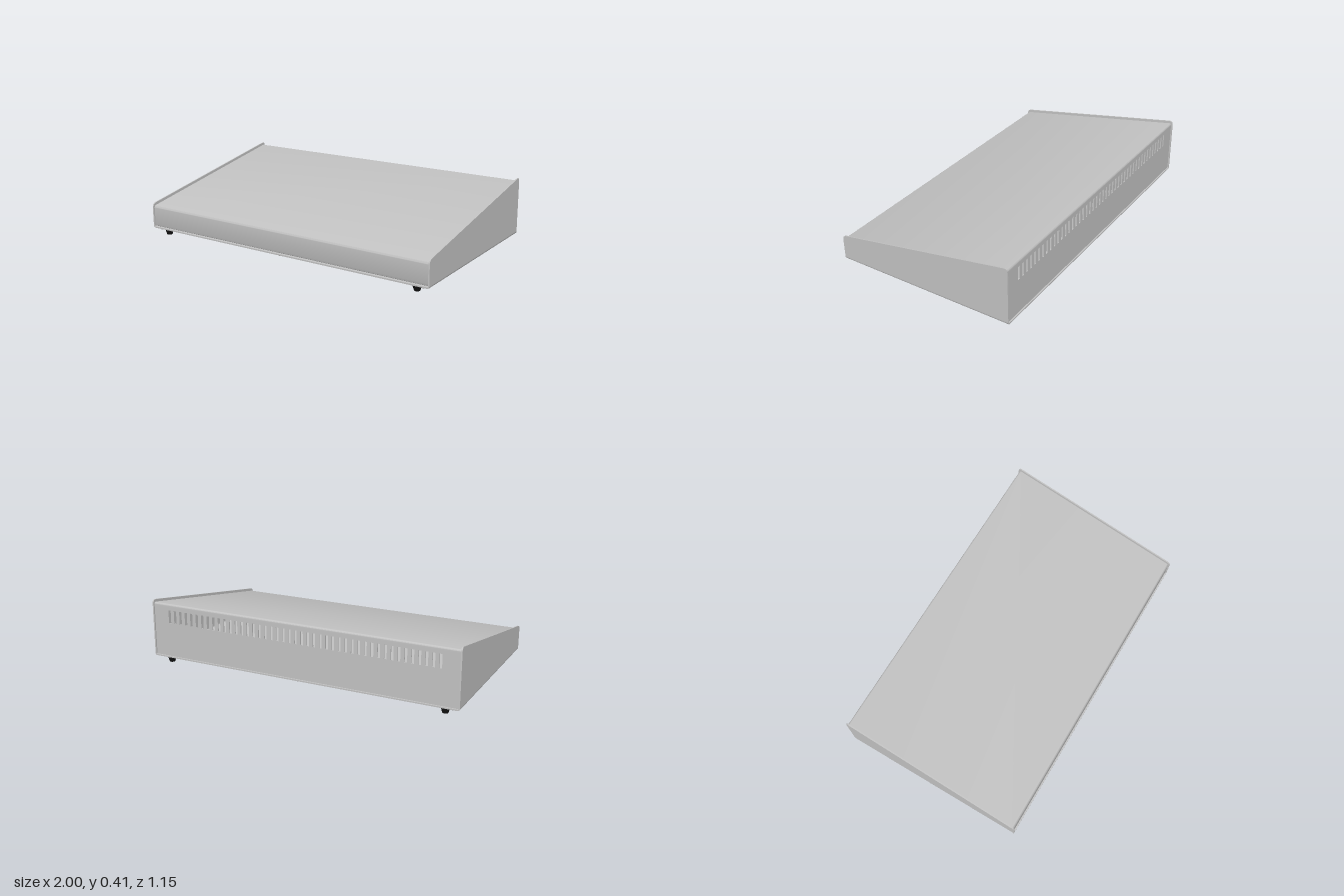
import * as THREE from 'three';
import { toCreasedNormals } from 'three/addons/utils/BufferGeometryUtils.js';

const T = 0.008;        // sheet thickness
const FLOOR = 0.046;    // underside of the base
const TILT = 0.0115;    // the case leans slightly forward on its feet
const HALF = 0.574;     // half depth

// Polyline with its inner corners rounded
function rounded(pts, r, closed = false) {
  const P = pts.map(p => new THREE.Vector2(...p)), n = P.length, out = [];
  P.forEach((p, i) => {
    if (!closed && (i === 0 || i === n - 1)) return out.push(p);
    const toward = q => p.clone().add(q.clone().sub(p).setLength(r));
    const bend = new THREE.QuadraticBezierCurve(toward(P[(i + n - 1) % n]), p, toward(P[(i + 1) % n]));
    out.push(...bend.getPoints(8));
  });
  return out;
}

// Bent sheet outline: the path plus its copy offset to the right
function sheet(path, t) {
  const inner = path.map((p, i) => {
    const a = path[Math.max(i - 1, 0)], b = path[Math.min(i + 1, path.length - 1)];
    const d = b.clone().sub(a).normalize();
    return new THREE.Vector2(p.x + d.y * t, p.y - d.x * t);
  });
  return new THREE.Shape([...path, ...inner.reverse()]);
}

function extrude(shape, depth) {
  return new THREE.ExtrudeGeometry(shape, { depth, bevelEnabled: false, curveSegments: 6 })
    .translate(0, 0, -depth / 2);
}

// Extrudes a (z, y) outline along x
const acrossX = (shape, width) => toCreasedNormals(extrude(shape, width).rotateY(-Math.PI / 2), 0.6);

function rect(Type, x0, y0, x1, y1) {
  return new Type([[x0, y0], [x1, y0], [x1, y1], [x0, y1]].map(p => new THREE.Vector2(...p)));
}

// Plate with a row of ventilation slots
function ventPlate(halfWidth, y0, y1, slot0, slot1) {
  const shape = rect(THREE.Shape, -halfWidth, y0, halfWidth, y1);
  for (let i = 0; i < 45; i++) {
    const x = -0.88 + i * 0.04;
    shape.holes.push(rect(THREE.Path, x - 0.0085, slot0, x + 0.0085, slot1));
  }
  return extrude(shape, T);
}

export function createModel() {
  const model = new THREE.Group();
  model.name = 'slopedEnclosure';
  const enclosure = new THREE.Group();
  enclosure.name = 'case';
  enclosure.rotation.x = TILT;
  model.add(enclosure);

  const material = (name, color) => Object.assign(new THREE.MeshStandardMaterial({ color }), { name });
  const metal = material('greySheetMetal', 0xc0c0c0);
  const steel = material('screwSteel', 0xa0a0a0);
  const rubber = material('blackRubber', 0x111111);

  const add = (name, geometry, mat, x = 0, y = 0, z = 0) => {
    const mesh = new THREE.Mesh(geometry, mat);
    mesh.name = name;
    mesh.position.set(x, y, z);
    enclosure.add(mesh);
    return mesh;
  };

  // Side plates with rounded upper corners, and the bends into the base
  const low = FLOOR + 0.018;
  const top = rounded([[HALF, low], [HALF, 0.206], [-HALF, 0.408], [-HALF, low]], 0.026);
  const sideGeometry = acrossX(new THREE.Shape(top), T);
  for (const s of [-1, 1]) {
    const side = s > 0 ? 'left' : 'right';
    add(side + 'SidePlate', sideGeometry, metal, s * (1 - T / 2));
    const pts = [[-1, low], [-1, FLOOR], [-0.975, FLOOR]];
    const path = rounded(s < 0 ? pts : pts.map(([x, y]) => [-x, y]).reverse(), 0.014);
    add(side + 'BaseBend', toCreasedNormals(extrude(sheet(path, -T), 2 * HALF), 0.6), metal);
  }

  // Base with a slot row near the front
  const base = ventPlate(0.975, -HALF, HALF, -0.465, -0.385).rotateX(-Math.PI / 2);
  add('basePlate', base, metal, 0, FLOOR + T / 2, 0);

  // Folded cover: front lip, front face, sloping top and rear bend
  const zf = HALF - 0.008, zb = -HALF + 0.008, lipY = FLOOR + T + 0.001, splitY = 0.366;
  const cover = rounded(
    [[zb, splitY], [zb, 0.391], [zf, 0.191], [zf, lipY], [zf - 0.045, lipY]], 0.014);
  add('cover', acrossX(sheet(cover, T), 1.982), metal);

  // Rear panel with ventilation slots, and its lip
  add('rearPanel', ventPlate(0.991, lipY, splitY, 0.268, 0.35), metal, 0, 0, zb + T / 2);
  add('rearLip', new THREE.BoxGeometry(1.98, T, 0.04), metal, 0, lipY + T / 2, zb + 0.026);

  // Rubber feet on steel washers
  const footGeometry = new THREE.CylinderGeometry(0.025, 0.017, 0.026, 24);
  const washerGeometry = new THREE.CylinderGeometry(0.013, 0.013, 0.016, 20);
  for (const x of [-0.905, 0.905]) for (const z of [-0.53, 0.53]) {
    add('foot', footGeometry, rubber, x, 0.0195, z);
    add('footWasher', washerGeometry, steel, x, 0.039, z);
  }

  // Screws along the front and rear edges of the base
  const screwGeometry = new THREE.CylinderGeometry(0.011, 0.008, 0.012, 16);
  for (const x of [-0.953, 0, 0.953]) for (const z of [-0.54, 0.545])
    add('baseScrew', screwGeometry, steel, x, FLOOR - 0.006, z);

  return model;
}
